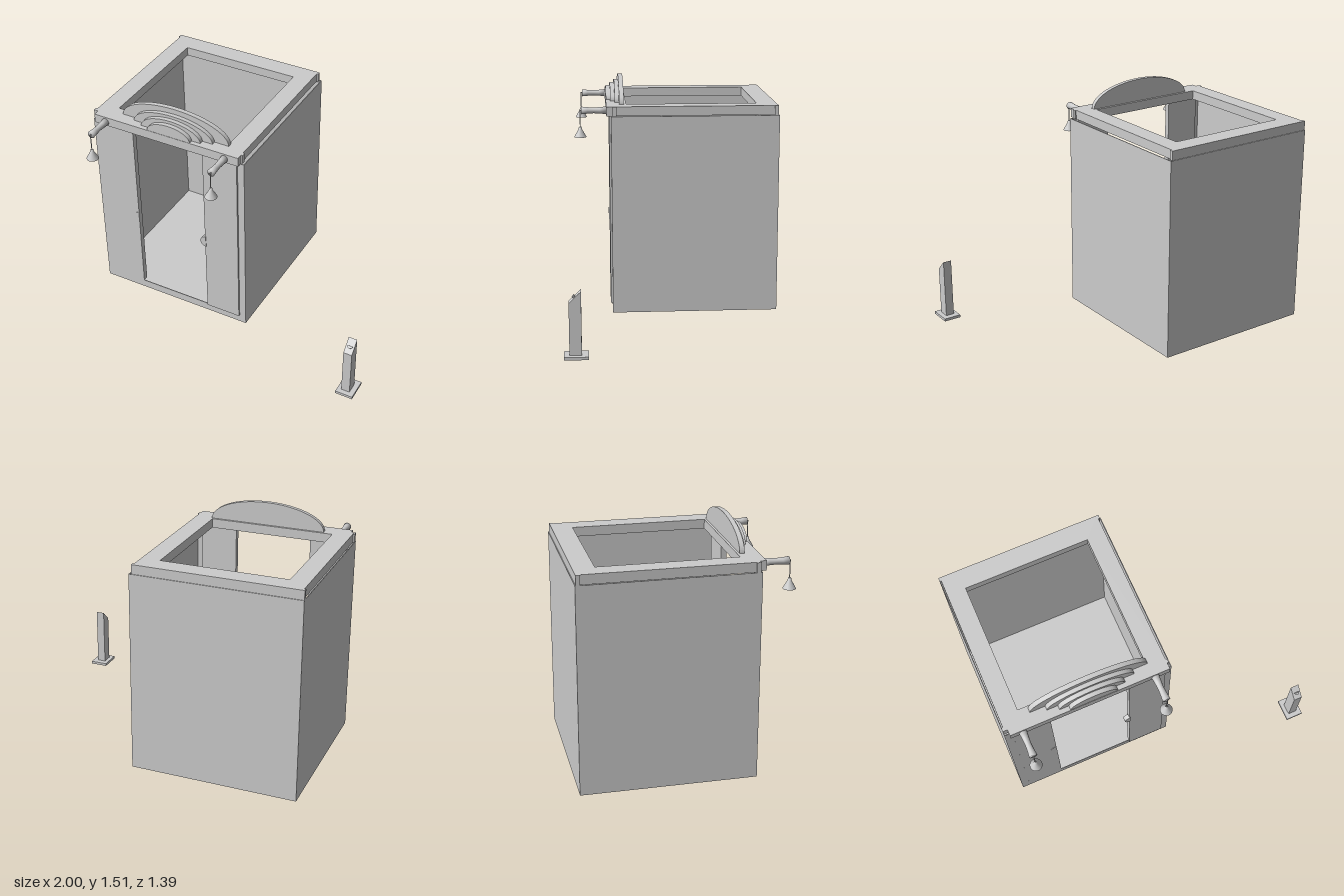
import * as THREE from 'three';

const grey = new THREE.MeshStandardMaterial({ color: 0xcccccc, side: THREE.DoubleSide });

export function createModel() {
  const model = new THREE.Group();

  const add = (name, geometry, x = 0, y = 0, z = 0) => {
    const mesh = new THREE.Mesh(geometry, grey);
    mesh.name = name;
    mesh.position.set(x, y, z);
    model.add(mesh);
    return mesh;
  };
  // box given by its two extremes on each axis
  const box = (name, x0, x1, y0, y1, z0, z1) =>
    add(name, new THREE.BoxGeometry(x1 - x0, y1 - y0, z1 - z0), (x0 + x1) / 2, (y0 + y1) / 2, (z0 + z1) / 2);
  const rect = (Type, x0, x1, y0, y1) => new Type([
    new THREE.Vector2(x0, y0), new THREE.Vector2(x1, y0), new THREE.Vector2(x1, y1), new THREE.Vector2(x0, y1)]);
  const extrude = (shape, depth, curveSegments = 24) =>
    new THREE.ExtrudeGeometry(shape, { depth, bevelEnabled: false, curveSegments });

  // thin-walled cabin, open above
  const L = -1, R = 0.085, B = -0.695, F = 0.39, H = 1.305, T = 0.005;
  box('floor', L, R, 0, T, B, F);
  box('backWall', L, R, 0, H, B, B + T);
  box('sideWallRight', L, L + T, 0, H, B, F);
  box('sideWallLeft', R - T, R, 0, H, B, F);
  const front = rect(THREE.Shape, L, R, 0, H);
  front.holes.push(rect(THREE.Path, -0.71, -0.2, 0.055, 1.3));
  add('frontWall', extrude(front, T), 0, 0, F - T);

  // sliding doors, one flush and one standing proud, with half-round pulls
  box('doorRight', -0.95, -0.71, 0.055, 1.3, 0.355, 0.391);
  box('doorLeft', -0.2, 0.04, 0.055, 1.3, 0.365, 0.403);
  const pull = new THREE.Shape();
  pull.absarc(0, 0, 0.04, Math.PI / 2, Math.PI * 1.5);
  pull.closePath();
  add('pullRight', extrude(pull, 0.03), -0.71, 0.61, 0.363);
  add('pullLeft', extrude(pull, 0.03), -0.193, 0.61, 0.378);

  // roof frame around the square opening
  const roof = rect(THREE.Shape, -0.99, 0.06, -0.37, 0.69);
  roof.holes.push(rect(THREE.Path, -0.87, -0.06, -0.29, 0.56));
  add('roofFrame', extrude(roof, 0.06).rotateX(-Math.PI / 2), 0, 1.305, 0);
  box('roofFrontBeam', -0.97, 0.06, 1.305, 1.365, 0.37, 0.42);
  for (const z of [-0.69, 0.355]) {
    box('roofCorner', -1, -0.97, 1.305, 1.365, z, z + 0.025);
    box('roofCorner', 0.04, 0.07, 1.305, 1.365, z, z + 0.025);
  }

  // stepped arches above the entrance: half width, height, back z, front z
  for (const [w, h, z0, z1] of [
    [0.38, 0.15, 0.305, 0.335], [0.282, 0.115, 0.335, 0.362],
    [0.212, 0.095, 0.362, 0.39], [0.153, 0.075, 0.39, 0.418]]) {
    const arch = new THREE.Shape();
    arch.absellipse(0, 0, w, h, 0, Math.PI);
    arch.closePath();
    add('arch', extrude(arch, z1 - z0), -0.43, 1.365, z0);
  }

  // waisted brackets with hanging bells
  const bracket = [[0, 0], [0.025, 0], [0.021, 0.04], [0.0185, 0.08], [0.021, 0.12], [0.025, 0.16], [0, 0.16]]
    .map(([r, y]) => new THREE.Vector2(r, y));
  const bell = [[0, 0.066], [0.009, 0.066], [0.012, 0.05], [0.038, 0.005], [0.039, 0]]
    .map(([r, y]) => new THREE.Vector2(r, y));
  for (const x of [-0.89, -0.035]) {
    add('bracket', new THREE.LatheGeometry(bracket, 20).rotateX(Math.PI / 2), x, 1.33, 0.42);
    add('bellCord', new THREE.CylinderGeometry(0.003, 0.003, 0.12, 8), x, 1.275, 0.588);
    box('bellHook', x - 0.003, x + 0.003, 1.328, 1.334, 0.575, 0.591);
    add('bell', new THREE.LatheGeometry(bell, 20), x, 1.157, 0.588);
  }

  // free-standing post with a sloping top and a small half-round button
  box('postBase', 0.885, 1, 0.012, 0.03, 0.55, 0.695);
  const side = new THREE.Shape([[0.59, 0.03], [0.663, 0.03], [0.663, 0.35], [0.59, 0.42]]
    .map(([z, y]) => new THREE.Vector2(-z, y)));
  add('post', extrude(side, 0.056).rotateY(Math.PI / 2), 0.912, 0, 0);
  const dot = new THREE.Shape();
  dot.absarc(0, 0, 0.017, Math.PI, Math.PI * 2);
  dot.closePath();
  const button = add('postButton', extrude(dot, 0.012, 12), 0.94, 0.385, 0.624);
  button.rotation.x = -0.8;

  return model;
}
